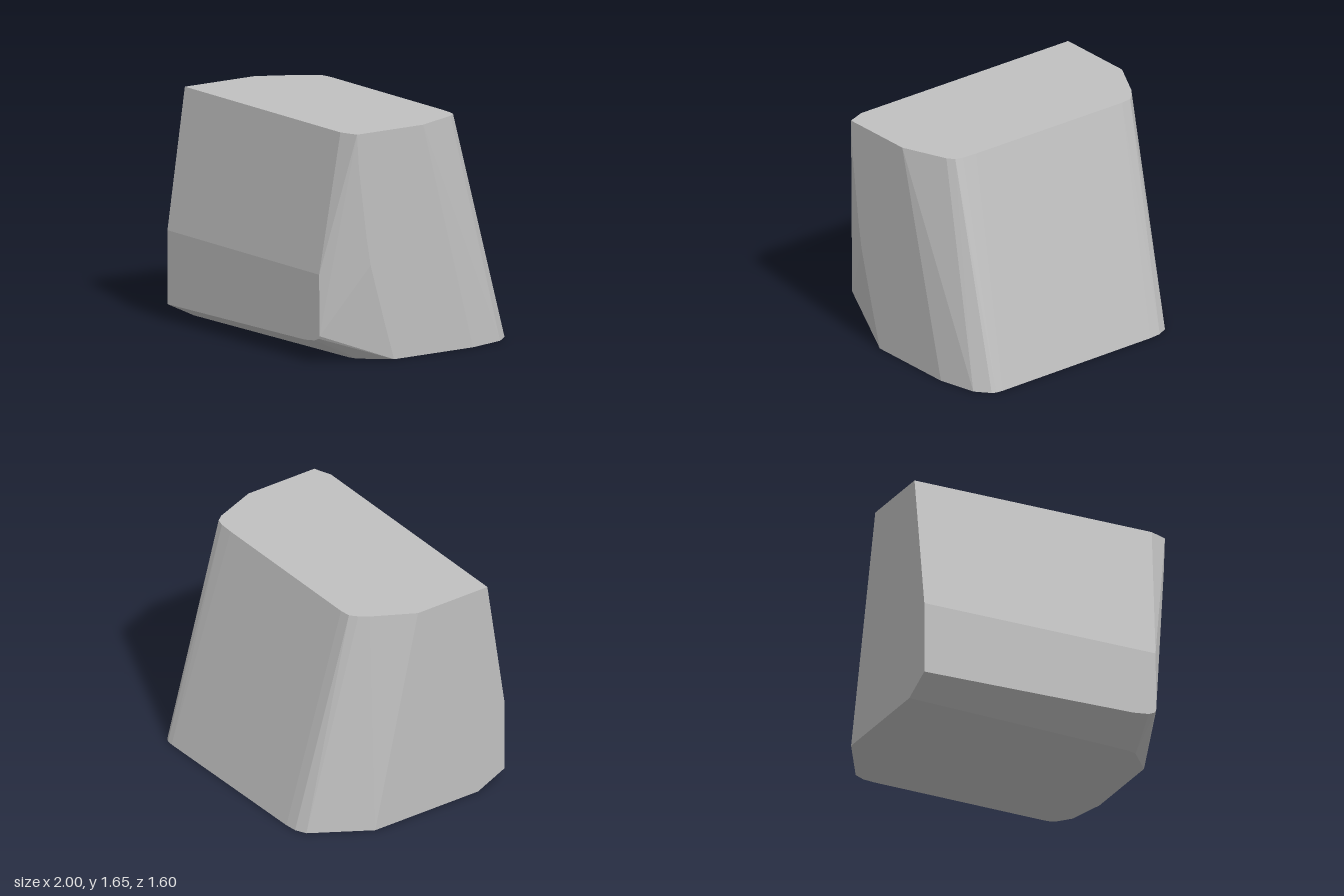
import * as THREE from 'three';
import { ConvexGeometry } from 'three/addons/geometries/ConvexGeometry.js';

export function createModel() {
  const group = new THREE.Group();
  const grey = new THREE.MeshStandardMaterial({ color: 0xc0c0c0 });
  grey.name = 'grey';

  const points = [];
  // Horizontal outline: x, z pairs at one height
  const outline = (y, pairs) => pairs.forEach(([x, z]) => points.push(new THREE.Vector3(x, y, z)));

  // Flat top
  outline(1.65, [
    [-1, 0.65], [0.87, 0.65], [1, 0.6], [1, 0.03], [0.87, -0.3], [0.83, -0.35], [0.77, -0.365],
    [0.66, -0.37], [-0.66, -0.37], [-0.74, -0.36], [-0.79, -0.315], [-0.84, -0.25], [-1, 0.05],
  ]);

  // Flat base, wider towards the back
  outline(0, [
    [-1, 0.57], [0.65, 0.505], [0.76, 0.5], [0.83, 0.48], [1, 0.28], [1, -0.4], [0.935, -0.68],
    [0.85, -0.78], [0.82, -0.795], [0.77, -0.8], [-0.58, -0.785], [-0.67, -0.775], [-0.75, -0.735], [-1, -0.32],
  ]);

  // Upright front panel with a rounded lower right corner
  const front = [[-1, 0.64], [0.823, 0.64], [0.828, 0.2], [0.815, 0.18], [0.77, 0.16], [0.65, 0.145], [-1, 0.11]];
  front.forEach(([x, y]) => points.push(new THREE.Vector3(x, y, 0.8)));

  // Curved front edge of the right side
  const edge = [[1.4, 0.583], [1.15, 0.55], [0.9, 0.517], [0.7, 0.483], [0.5, 0.427], [0.25, 0.355]];
  edge.forEach(([y, z]) => points.push(new THREE.Vector3(1, y, z)));

  const body = new THREE.Mesh(new ConvexGeometry(points), grey);
  body.name = 'body';
  group.add(body);
  return group;
}
